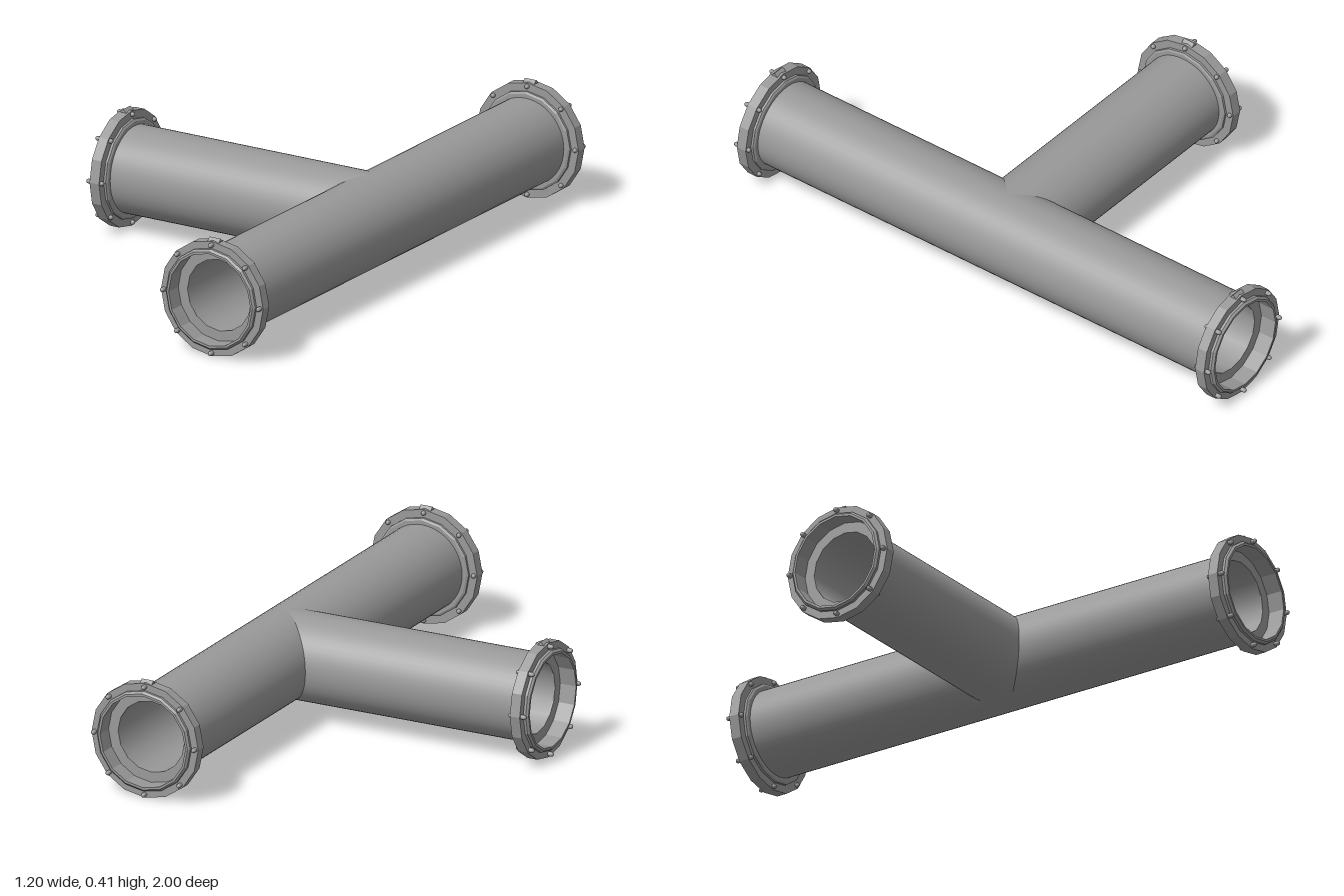
import * as THREE from 'three';

const AXIS_Y = 0.202, AXIS_X = 0.4, OUTER = 0.15, BORE = 0.125;
const smooth = new THREE.MeshStandardMaterial({ color: 0x999999, side: THREE.DoubleSide });
const faceted = new THREE.MeshStandardMaterial({ color: 0x999999, flatShading: true });

function add(parent, name, geometry, material) {
  const mesh = new THREE.Mesh(geometry, material);
  mesh.name = name;
  parent.add(mesh);
  return mesh;
}

// Hollow pipe along z, centred on its own origin
function makePipe(name, length) {
  const pipe = new THREE.Group();
  pipe.name = name;
  const tube = (r, sides) =>
    new THREE.CylinderGeometry(r, r, length, sides, 1, true).rotateX(Math.PI / 2);
  add(pipe, 'outerWall', tube(OUTER, 48), smooth);
  add(pipe, 'bore', tube(BORE, 16), smooth);
  for (const s of [-1, 1]) {
    add(pipe, 'endFace', new THREE.RingGeometry(BORE, OUTER, 48), smooth).position.z = s * length / 2;
  }
  return pipe;
}

// Flange facing +z with its outer end at z = 0
function makeFlange() {
  const flange = new THREE.Group();
  flange.name = 'flange';

  // Collar, raised rim and deep stepped socket in one closed profile
  const profile = [
    [0.124, -0.068], [0.165, -0.068], [0.172, -0.064], [0.172, -0.056],
    [0.2, -0.056], [0.2, -0.019], [0.175, -0.019], [0.175, -0.01],
    [0.168, -0.003], [0.16, -0.003], [0.16, -0.062], [0.124, -0.062], [0.124, -0.068],
  ].map(([r, z]) => new THREE.Vector2(r, z));
  add(flange, 'collar', new THREE.LatheGeometry(profile, 16).rotateX(Math.PI / 2), faceted);

  // Eight round-ended bolts standing out of both sides of the rim
  for (let i = 0; i < 8; i++) {
    const a = i * Math.PI / 4;
    const bolt = add(flange, 'bolt',
      new THREE.CapsuleGeometry(0.008, 0.052, 4, 10).rotateX(Math.PI / 2), smooth);
    bolt.position.set(Math.cos(a) * 0.188, Math.sin(a) * 0.188, -0.034);
  }

  // Small ridged lug on top of the rim
  add(flange, 'lug', new THREE.CylinderGeometry(0.013, 0.013, 0.044, 4).rotateZ(Math.PI / 2), faceted)
    .position.set(0, 0.195, -0.037);
  return flange;
}

export function createModel() {
  const model = new THREE.Group();
  model.name = 'pipeTee';

  // Pipes stop at the bottom of the flange sockets
  const mainPipe = makePipe('mainPipe', 1.872);
  mainPipe.position.set(AXIS_X, AXIS_Y, 0);
  model.add(mainPipe);

  // Branch runs into the middle of the main pipe
  const branch = makePipe('branchPipe', 0.936);
  branch.rotation.y = -Math.PI / 2;
  branch.position.set(AXIS_X - 0.468, AXIS_Y, 0);
  model.add(branch);

  // Flanges on the three open ends
  for (const [x, z, turn] of [[AXIS_X, 1, 0], [AXIS_X, -1, Math.PI], [-0.6, 0, -Math.PI / 2]]) {
    const flange = makeFlange();
    flange.position.set(x, AXIS_Y, z);
    flange.rotation.y = turn;
    model.add(flange);
  }
  return model;
}
